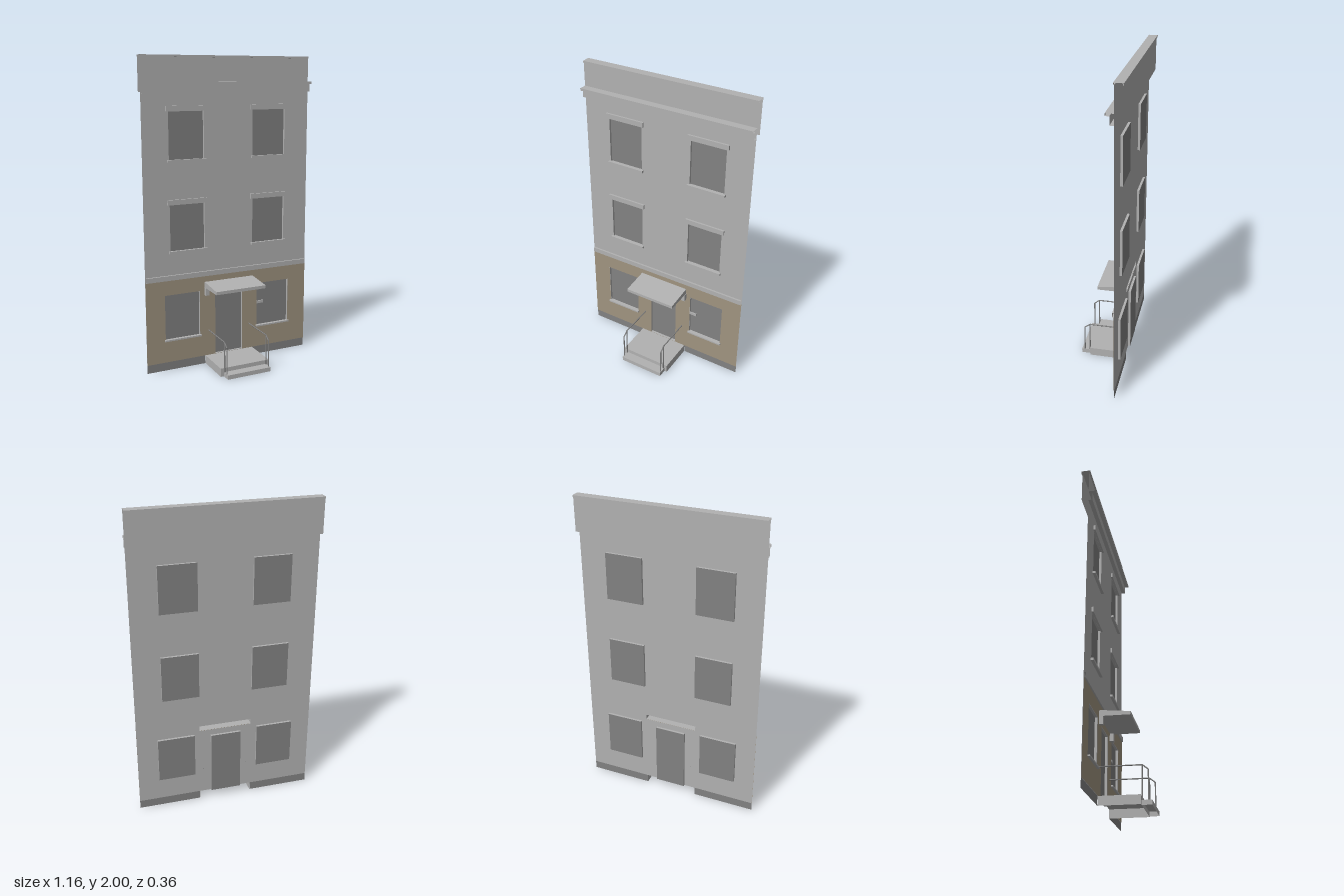
import * as THREE from 'three';

const mat = (name, color) => {
  const m = new THREE.MeshStandardMaterial({ color, side: THREE.DoubleSide });
  m.name = name;
  return m;
};
const WALL = -0.13, GLASS = -0.145, L = -0.58, R = 0.577;

export function createModel() {
  const model = new THREE.Group();
  const grey = mat('light grey masonry', 0xb2b2b2);
  const dark = mat('dark grey', 0x828282);
  const tan = mat('tan stone', 0xa09480);

  const add = (name, geometry, material) => {
    const mesh = new THREE.Mesh(geometry, material);
    mesh.name = name;
    model.add(mesh);
    return mesh;
  };
  const box = (name, material, x0, x1, y0, y1, z0, z1) => {
    const g = new THREE.BoxGeometry(x1 - x0, y1 - y0, z1 - z0);
    g.translate((x0 + x1) / 2, (y0 + y1) / 2, (z0 + z1) / 2);
    return add(name, g, material);
  };
  const rectPoints = ([x0, x1, y0, y1]) =>
    [[x0, y0], [x1, y0], [x1, y1], [x0, y1]].map(([x, y]) => new THREE.Vector2(x, y));

  // Flat upright sheet with rectangular openings
  const panel = (name, material, rect, z, holes = []) => {
    const shape = new THREE.Shape(rectPoints(rect));
    for (const h of holes) shape.holes.push(new THREE.Path(rectPoints(h).reverse()));
    return add(name, new THREE.ShapeGeometry(shape).translate(0, 0, z), material);
  };

  // Open sheet swept along x from a [z, y] profile, with optional end faces
  const sweep = (name, material, profile, x0, x1, ends = false) => {
    const pos = [];
    for (let i = 0; i < profile.length - 1; i++) {
      const [za, ya] = profile[i], [zb, yb] = profile[i + 1];
      pos.push(x0, ya, za, x0, yb, zb, x1, yb, zb, x0, ya, za, x1, yb, zb, x1, ya, za);
    }
    const g = new THREE.BufferGeometry();
    g.setAttribute('position', new THREE.Float32BufferAttribute(pos, 3));
    g.computeVertexNormals();
    add(name, g, material);
    if (!ends) return;
    const side = new THREE.Shape(profile.map(([z, y]) => new THREE.Vector2(z, y)));
    for (const x of [x0, x1]) {
      const e = new THREE.ShapeGeometry(side).rotateY(-Math.PI / 2).translate(x, 0, 0);
      add(name + 'End', e, material);
    }
  };

  // Openings: [x0, x1, y0, y1]
  const upper = [];
  for (const [y0, y1] of [[1.365, 1.664], [0.788, 1.085]])
    for (const [x0, x1] of [[-0.407, -0.172], [0.17, 0.405]]) upper.push([x0, x1, y0, y1]);
  const lower = [[-0.452, -0.212, 0.206, 0.505], [0.204, 0.444, 0.206, 0.505]];
  const door = [-0.103, 0.095, 0.057, 0.487];
  const canopyGap = [-0.175, 0.17, 0.526, 0.561];

  // Walls: full sheet, with tan stone on the face of the ground floor
  panel('wall', grey, [L, R, 0.055, 1.99], WALL, [...upper, ...lower, door, canopyGap]);
  panel('groundFloorFacing', tan, [L, R, 0.056, 0.605], WALL + 0.003, [...lower, door, canopyGap]);
  panel('plinthRight', dark, [L, -0.177, 0, 0.055], WALL);
  panel('plinthLeft', dark, [0.172, R, 0, 0.055], WALL);

  // Recessed panes with their reveals
  const recess = (name, [x0, x1, y0, y1], material) => {
    panel(name, dark, [x0, x1, y0, y1], GLASS);
    const d = WALL - GLASS, z = (WALL + GLASS) / 2;
    for (const x of [x0, x1])
      add(name + 'Jamb', new THREE.PlaneGeometry(d, y1 - y0).rotateY(Math.PI / 2)
        .translate(x, (y0 + y1) / 2, z), material);
    for (const y of [y0, y1])
      add(name + 'Reveal', new THREE.PlaneGeometry(x1 - x0, d).rotateX(-Math.PI / 2)
        .translate((x0 + x1) / 2, y, z), material);
  };
  for (const w of upper) {
    const [x0, x1, y0, y1] = w;
    recess('upperWindow', w, grey);
    box('lintel', grey, x0 - 0.017, x1 + 0.017, y1 + 0.002, y1 + 0.034, WALL, -0.118);
    box('sill', grey, x0 - 0.011, x1 + 0.011, y0 - 0.011, y0 + 0.004, WALL, -0.113);
  }
  for (const w of lower) {
    recess('groundWindow', w, grey);
    box('groundSill', grey, w[0] - 0.006, w[1] + 0.006, w[2] - 0.006, w[2] + 0.004, WALL, -0.113);
  }
  recess('door', door, grey);
  box('smallPlate', grey, 0.204, 0.254, 0.362, 0.38, WALL - 0.003, WALL + 0.004);

  // Horizontal mouldings and parapet, open at the ends
  sweep('stringCourse', grey,
    [[WALL, 0.603], [-0.118, 0.603], [-0.118, 0.635], [WALL, 0.635]], L + 0.005, R - 0.004);
  sweep('cornice', grey, [[WALL, 1.775], [-0.105, 1.775], [-0.105, 1.825],
    [-0.08, 1.825], [-0.08, 1.84], [WALL, 1.84]], L, R);
  sweep('parapet', grey, [[WALL, 1.988], [-0.123, 1.988], [-0.123, 2], [-0.18, 2],
    [-0.18, 1.988], [-0.172, 1.988], [-0.172, 1.78]], L, R);

  // Door canopy, hollow at the back, on two brackets
  sweep('canopy', grey, [[WALL, 0.525], [0.06, 0.525], [0.06, 0.545], [WALL, 0.563]],
    -0.177, 0.172, true);
  for (const x of [-0.18, 0.148])
    box('canopyBracket', grey, x, x + 0.027, 0.475, 0.525, WALL, -0.103);

  // Entrance steps, hollow underneath
  sweep('landing', grey, [[WALL, 0.055], [0.115, 0.055], [0.115, 0]], -0.175, 0.17);
  for (const x of [-0.175, 0.17])
    add('landingSide', new THREE.PlaneGeometry(0.245, 0.055).rotateY(Math.PI / 2)
      .translate(x, 0.0275, -0.0075), grey);
  sweep('lowerStep', grey, [[0.115, 0.028], [0.175, 0.028], [0.175, 0]], -0.153, 0.152);
  for (const x of [-0.153, 0.152])
    add('lowerStepSide', new THREE.PlaneGeometry(0.06, 0.028).rotateY(Math.PI / 2)
      .translate(x, 0.014, 0.145), grey);

  // Handrails: straight bars between [z, y] points
  const up = new THREE.Vector3(0, 1, 0);
  const bar = (name, x, [z0, y0], [z1, y1], r) => {
    const a = new THREE.Vector3(x, y0, z0), d = new THREE.Vector3(0, y1 - y0, z1 - z0);
    const m = add(name, new THREE.CylinderGeometry(r, r, d.length(), 8), dark);
    m.quaternion.setFromUnitVectors(up, d.clone().normalize());
    m.position.copy(a).addScaledVector(d, 0.5);
  };
  for (const x of [-0.15, 0.146]) {
    bar('railPost', x, [0.155, 0.028], [0.155, 0.202], 0.004);
    bar('railPost', x, [0.12, 0.028], [0.12, 0.229], 0.004);
    bar('railSlope', x, [0.155, 0.202], [0.12, 0.229], 0.004);
    bar('handrail', x, [0.12, 0.229], [WALL, 0.229], 0.004);
  }
  return model;
}
